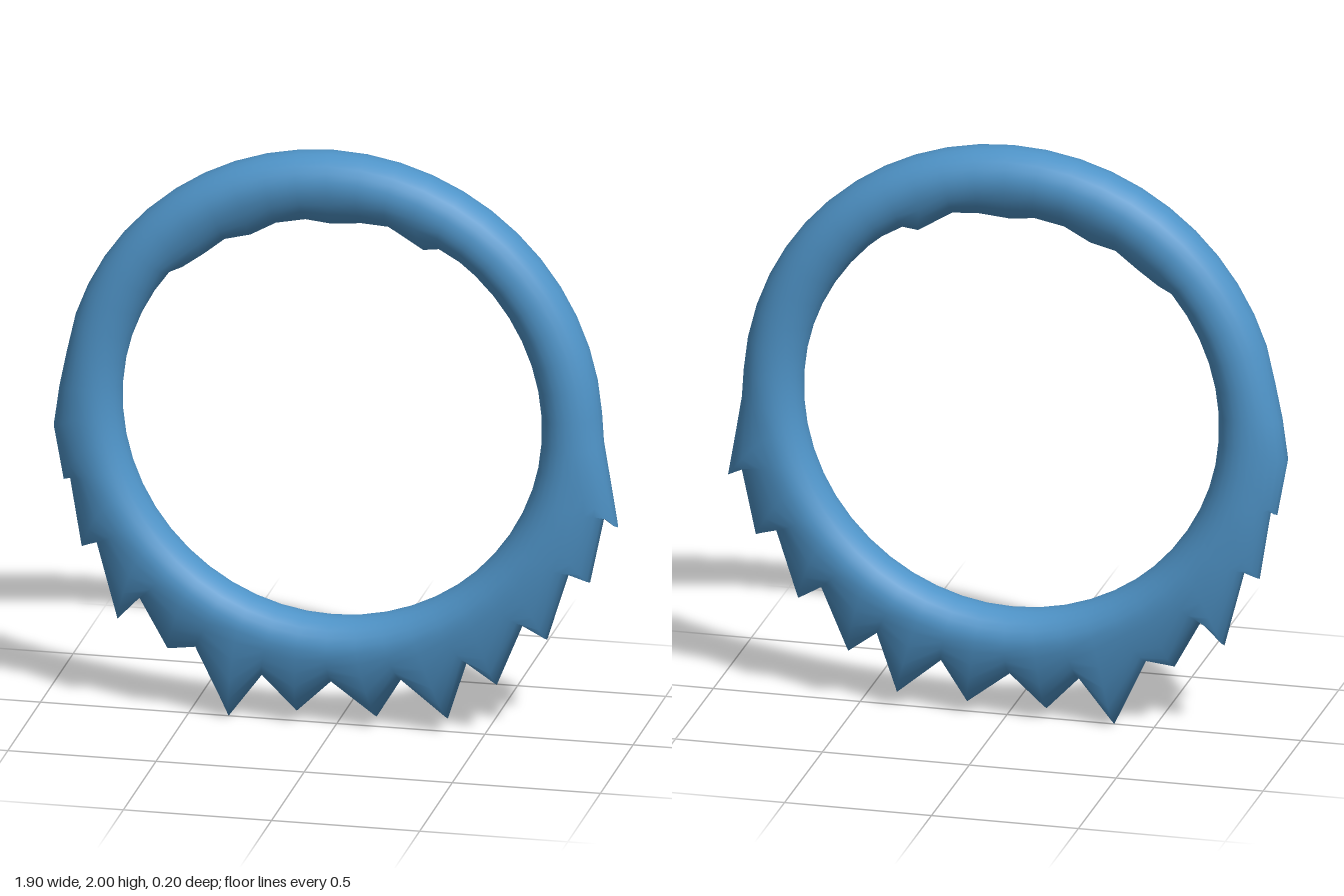
import * as THREE from 'three';

const CX = -0.015, CY = 1.09; // ring centre
const MAJOR = 0.81, TUBE = 0.1;
const STEPS = 50, SIDES = 24;

// Ridge points of the toothed outer edge, from step -14 to 12 (step 0 is the bottom)
const FIRST = -14;
const ridge = [
  [-0.91, 1.24], [-0.935, 1.12], [-0.955, 0.98],
  [-0.92, 0.79], [-0.9, 0.81], [-0.86, 0.56], [-0.81, 0.585],
  [-0.74, 0.315], [-0.665, 0.4], [-0.57, 0.225], [-0.475, 0.24],
  [-0.365, 0.005], [-0.25, 0.16], [-0.135, 0.04], [-0.015, 0.155],
  [0.135, 0.04], [0.22, 0.18], [0.375, 0.05], [0.44, 0.255],
  [0.54, 0.18], [0.63, 0.4], [0.71, 0.35], [0.785, 0.59],
  [0.855, 0.56], [0.905, 0.8], [0.95, 0.76], [0.9, 1.05],
];

// Sagging points of the inner edge, from step 20 to 31 (step 25 is the top)
const SAG_FIRST = 20;
const sag = [
  [0.42, 1.65], [0.35, 1.69], [0.3, 1.68], [0.18, 1.755], [0.09, 1.76], [-0.015, 1.75],
  [-0.1, 1.76], [-0.2, 1.74], [-0.29, 1.69], [-0.375, 1.67], [-0.45, 1.61], [-0.52, 1.56],
];

function ringGeometry() {
  const positions = [], index = [];
  const start = -20;
  for (let n = 0; n < STEPS; n++) {
    const step = start + n;
    const a = -Math.PI / 2 + (step / STEPS) * Math.PI * 2;
    const ca = Math.cos(a), sa = Math.sin(a);
    const pull = (point, r) =>
      point ? [point[0] - CX - r * ca, point[1] - CY - r * sa] : [0, 0];
    const outer = pull(ridge[step - FIRST], MAJOR + TUBE);
    const inner = pull(sag[(step + STEPS) % STEPS - SAG_FIRST], MAJOR - TUBE);

    // Round section, drawn out towards the ridge or the sagging inner edge
    for (let j = 0; j < SIDES; j++) {
      const phi = (j / SIDES) * Math.PI * 2;
      const c = Math.cos(phi), r = MAJOR + TUBE * c;
      const move = c > 0 ? outer : inner;
      const w = c * c;
      positions.push(CX + r * ca + move[0] * w, CY + r * sa + move[1] * w, TUBE * Math.sin(phi));

      const n2 = (n + 1) % STEPS, j2 = (j + 1) % SIDES;
      const p = n * SIDES + j, q = n2 * SIDES + j, s = n2 * SIDES + j2, t = n * SIDES + j2;
      index.push(p, q, s, p, s, t);
    }
  }
  const geometry = new THREE.BufferGeometry();
  geometry.setAttribute('position', new THREE.Float32BufferAttribute(positions, 3));
  geometry.setIndex(index);
  geometry.computeVertexNormals();
  return geometry;
}

export function createModel() {
  const group = new THREE.Group();
  group.name = 'toothedRing';
  const blue = new THREE.MeshStandardMaterial({ color: 0x4f94c8 });
  blue.name = 'blue';
  const ring = new THREE.Mesh(ringGeometry(), blue);
  ring.name = 'ring';
  group.add(ring);
  return group;
}
